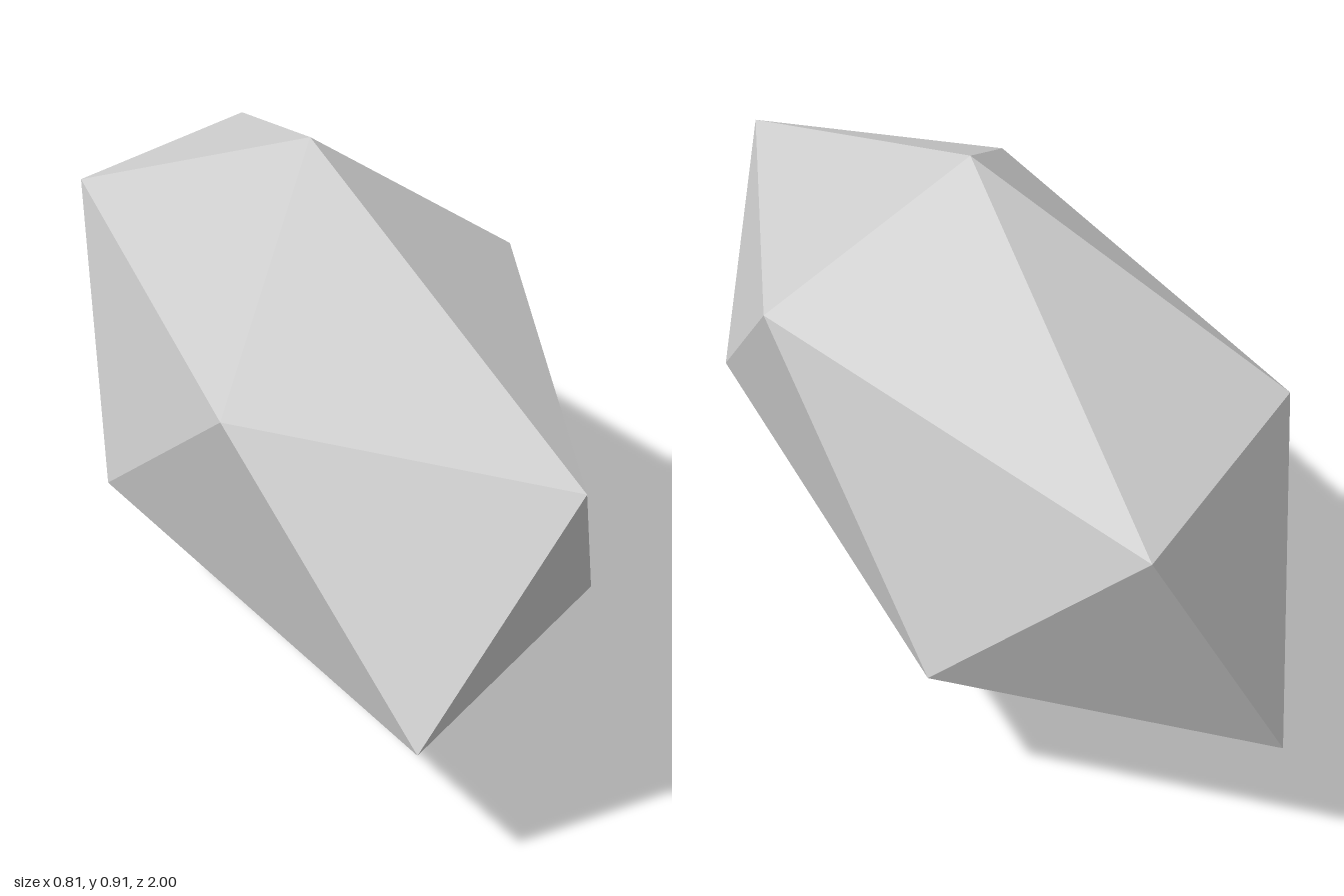
import * as THREE from 'three';

const SIDES = 5;
const RADIUS_X = 0.405;
const RADIUS_Z = 1 / Math.sin((2 * Math.PI) / SIDES);

// One point on an elliptical ring
function ringPoint(step, y) {
  const a = (step * 2 * Math.PI) / SIDES;
  return [RADIUS_X * Math.cos(a), y, RADIUS_Z * Math.sin(a)];
}

// Stretched icosahedron: two staggered five-point rings between two tips
function stoneGeometry() {
  const top = [0, 0.906, 0];
  const bottom = [0, 0, 0];
  const positions = [];
  for (let i = 0; i < SIDES; i++) {
    const upperA = ringPoint(i, 0.656);
    const upperB = ringPoint(i + 1, 0.656);
    const lowerA = ringPoint(i + 0.5, 0.25);
    const lowerB = ringPoint(i + 1.5, 0.25);
    positions.push(
      ...top, ...upperB, ...upperA, // crown
      ...upperA, ...upperB, ...lowerA, // belt, pointing down
      ...lowerA, ...upperB, ...lowerB, // belt, pointing up
      ...bottom, ...lowerA, ...lowerB // base
    );
  }
  const geometry = new THREE.BufferGeometry();
  geometry.setAttribute('position', new THREE.Float32BufferAttribute(positions, 3));
  geometry.computeVertexNormals();
  return geometry;
}

export function createModel() {
  const stoneGrey = new THREE.MeshStandardMaterial({ color: 0xcccccc, flatShading: true });
  stoneGrey.name = 'stoneGrey';

  const stone = new THREE.Mesh(stoneGeometry(), stoneGrey);
  stone.name = 'stone';

  const model = new THREE.Group();
  model.name = 'facetedStone';
  model.add(stone);
  return model;
}
